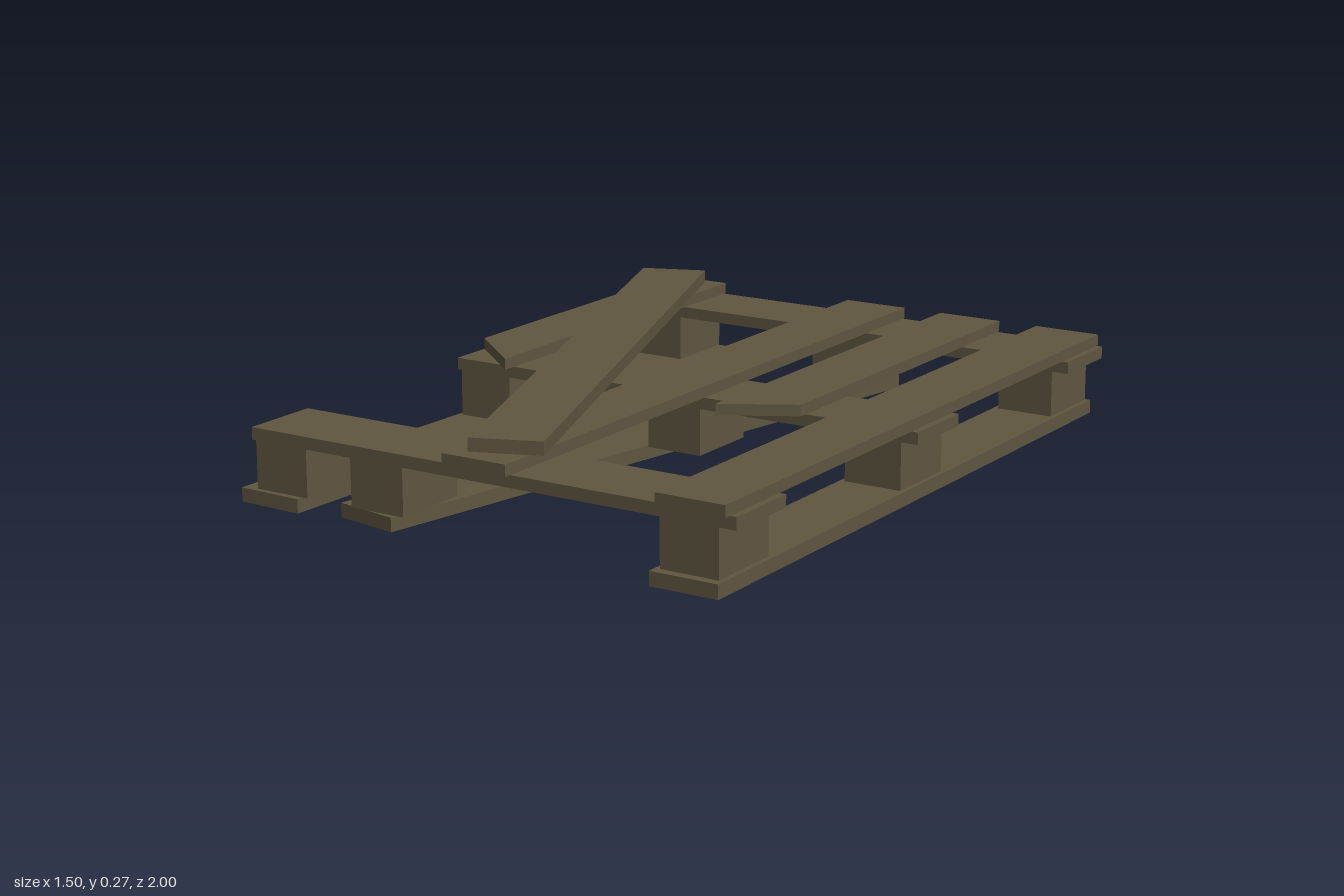
import * as THREE from 'three';

const wood = new THREE.MeshStandardMaterial({ color: 0x5f5640, flatShading: true });

// A plank: its outline in plan as [x, z] corners, raised from y0 to y1
function plank(name, corners, y0, y1) {
  const shape = new THREE.Shape(corners.map(([x, z]) => new THREE.Vector2(x, -z)));
  const geometry = new THREE.ExtrudeGeometry(shape, { depth: y1 - y0, bevelEnabled: false });
  geometry.rotateX(-Math.PI / 2).translate(0, y0, 0);
  const mesh = new THREE.Mesh(geometry, wood);
  mesh.name = name;
  return mesh;
}

const rect = (x0, x1, z0, z1) => [[x0, z0], [x0, z1], [x1, z1], [x1, z0]];

// Corners of a board running at an angle between the midpoints of its two ends
function slanted(xa, za, xb, zb, width) {
  const dx = xb - xa, dz = zb - za, k = width / 2 / Math.hypot(dx, dz);
  const nx = dz * k, nz = -dx * k;
  return [[xa - nx, za - nz], [xb - nx, zb - nz], [xb + nx, zb + nz], [xa + nx, za + nz]];
}

export function createModel() {
  const pallet = new THREE.Group();
  pallet.name = 'brokenPallet';

  // Ground skids, two of them knocked askew
  const SKID = [0, 0.038];
  pallet.add(
    plank('leftSkid', rect(0.522, 0.714, -0.997, 0.997), ...SKID),
    plank('middleSkid', slanted(0.022, -0.972, -0.345, 0.972, 0.19), ...SKID),
    plank('rightSkid', slanted(-0.578, -0.988, -0.645, 0.988, 0.19), ...SKID),
  );

  // Spacer blocks and the cross boards on top of them, row by row
  const rows = [
    { z0: -0.99, z1: -0.77, middle: 0.01 },
    { z0: -0.12, z1: 0.1, middle: 0.01 },
    { z0: 0.75, z1: 0.972, middle: -0.308 },
  ];
  for (const { z0, z1, middle } of rows) {
    for (const x of [-0.615, middle, 0.618]) {
      pallet.add(plank('block', rect(x - 0.082, x + 0.082, z0, z1), 0.038, 0.167));
    }
    pallet.add(plank('crossBoard', rect(-0.71, 0.748, z0, z1), 0.167, 0.2));
  }

  // Deck slats, two of them snapped off at a slant
  const slats = [
    { x0: -0.71, x1: -0.517, end0: -0.025, end1: 0.14 },
    { x0: -0.087, x1: 0.105, end0: 0.992, end1: 0.992 },
    { x0: 0.225, x1: 0.417, end0: 0.235, end1: 0.125 },
    { x0: 0.535, x1: 0.73, end0: 0.992, end1: 0.992 },
  ];
  for (const { x0, x1, end0, end1 } of slats) {
    pallet.add(plank('deckSlat', [[x0, -1], [x0, end0], [x1, end1], [x1, -1]], 0.2, 0.231));
  }

  // Loose slat lying across the deck
  pallet.add(plank('looseSlat', slanted(-0.66, -0.932, 0.056, 0.922, 0.192), 0.234, 0.27));

  return pallet;
}
